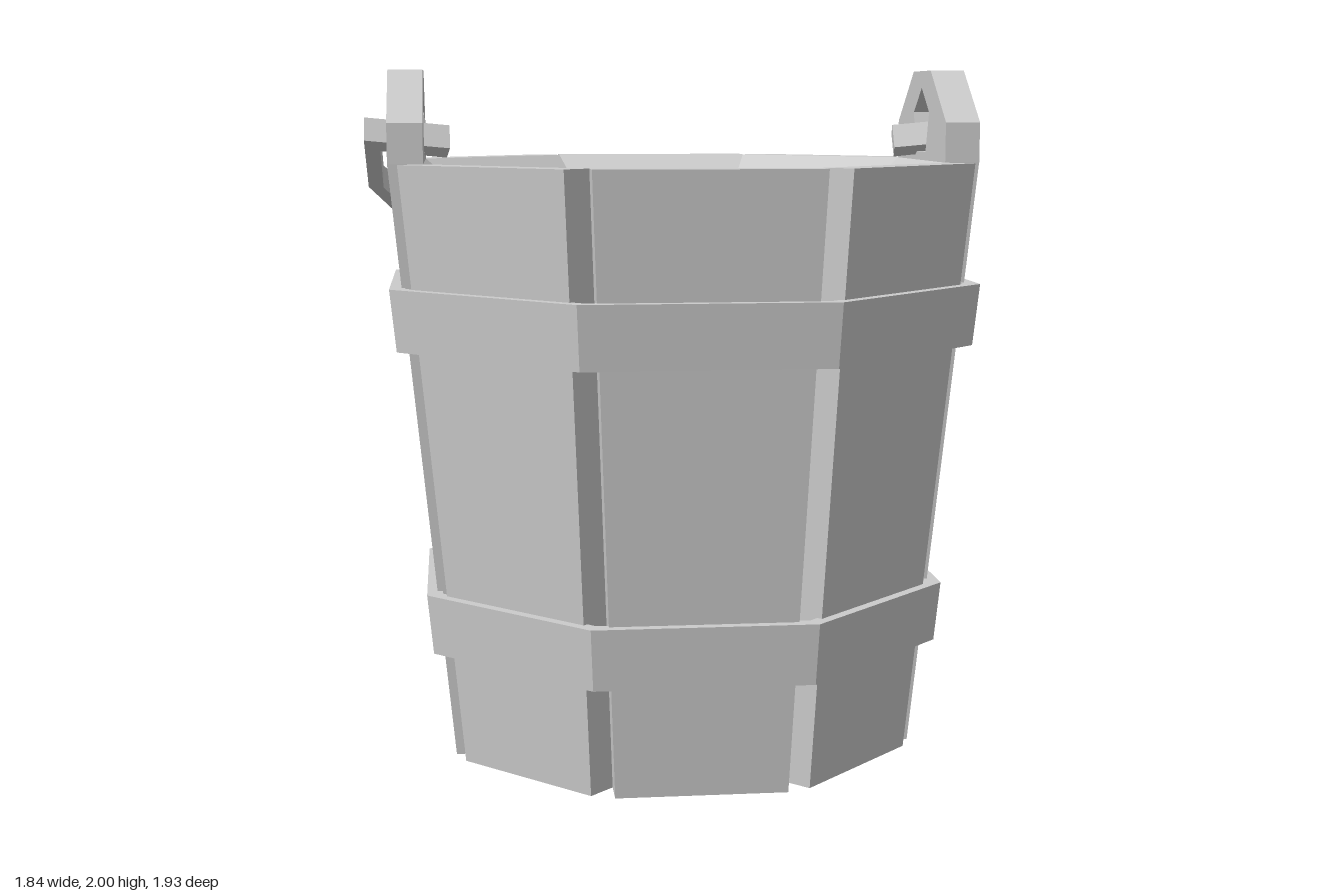
import * as THREE from 'three';

const material = new THREE.MeshStandardMaterial({ color: 0xcccccc, flatShading: true });
const CENTRE_Z = 0.12;   // the tub sits forward of the middle, the handle hangs behind
const HEIGHT = 1.735;
const TAN = Math.tan(Math.PI / 8);
const COS = Math.cos(Math.PI / 8);

const mesh = (geometry, name) => {
  const m = new THREE.Mesh(geometry, material);
  m.name = name;
  return m;
};

const toShape = (points) => new THREE.Shape(points.map(([x, y]) => new THREE.Vector2(x, y)));
const extrude = (shape, depth) => new THREE.ExtrudeGeometry(shape, { depth, bevelEnabled: false });

// Eight-sided ring from a closed [flat-side distance, height] profile
function octagonRing(profile, name) {
  const points = [...profile, profile[0]].map(([r, y]) => new THREE.Vector2(r / COS, y));
  return mesh(new THREE.LatheGeometry(points, 8, Math.PI / 8), name);
}

// Tapered board lying on one side of the octagon, facing +z
function stave(name) {
  const geometry = new THREE.BoxGeometry(2, 1, 1);
  const p = geometry.attributes.position;
  for (let i = 0; i < p.count; i++) {
    const t = p.getY(i) + 0.5;
    const inner = THREE.MathUtils.lerp(0.585, 0.745, t);
    p.setXYZ(i, p.getX(i) * inner * TAN, t * HEIGHT, inner + (p.getZ(i) > 0 ? 0.1 : 0) - (p.getZ(i) > 0 ? 0.008 * (1 - t) : 0));
  }
  return mesh(geometry, name);
}

// Lug with a five-sided hole, rising from a side stave
function ear(name) {
  const shape = toShape([[-0.31, HEIGHT], [0.31, HEIGHT], [0.31, 1.85], [0.11, 2], [-0.11, 2], [-0.31, 1.85]]);
  const hole = [];
  for (let i = 0; i < 5; i++) {
    const a = Math.PI / 2 - i * Math.PI * 0.4;
    hole.push(new THREE.Vector2(0.105 * Math.cos(a), 1.845 + 0.105 * Math.sin(a)));
  }
  shape.holes.push(new THREE.Path(hole));
  const geometry = extrude(shape, 0.1);
  geometry.translate(0, 0, 0.745);
  return mesh(geometry, name);
}

// Bent bar: half outline as [x, z], mirrored and tilted down to the back
function handle() {
  const outer = [[0.67, 0.075], [0.92, 0.12], [0.92, -0.155], [0.68, -0.665], [0, -0.948]];
  const inner = [[0, -0.89], [0.64, -0.625], [0.875, -0.16], [0.875, 0.06], [0.68, 0.02]];
  const mirror = (list) => list.filter(([x]) => x > 0).reverse().map(([x, z]) => [-x, z]);
  const tilt = Math.atan(0.53);
  const outline = [...outer, ...mirror(outer), ...mirror(inner), ...inner];
  const geometry = extrude(toShape(outline.map(([x, z]) => [x, -z / Math.cos(tilt)])), 0.076);
  geometry.translate(0, 0, -0.038);
  const bar = mesh(geometry, 'handle');
  bar.rotation.x = -Math.PI / 2 - tilt;
  bar.position.y = 1.766;
  return bar;
}

export function createModel() {
  const model = new THREE.Group();
  model.name = 'bucket';
  const tub = new THREE.Group();
  tub.name = 'tub';
  tub.position.z = CENTRE_Z;
  model.add(tub);

  // Inner wall with a sloping rim
  tub.add(octagonRing([[0.585, 0], [0.745, HEIGHT], [0.692, 1.69], [0.556, 0.25], [0.535, 0]], 'innerWall'));

  // Outer boards
  for (let i = 0; i < 8; i++) {
    const board = stave('stave' + (i + 1));
    board.rotation.y = i * Math.PI / 4;
    tub.add(board);
  }

  // Hoops
  tub.add(octagonRing([[0.738, 0.325], [0.755, 0.5], [0.71, 0.5], [0.693, 0.325]], 'lowerHoop'));
  tub.add(octagonRing([[0.827, 1.21], [0.845, 1.388], [0.8, 1.388], [0.782, 1.21]], 'upperHoop'));

  // Floor, with three planks underneath
  const floor = mesh(new THREE.CylinderGeometry(0.558 / COS, 0.544 / COS, 0.16, 8, 1, false, Math.PI / 8), 'floor');
  floor.position.y = 0.17;
  tub.add(floor);
  const side = [[0.235, -0.536], [0.545, -0.226], [0.545, 0.226], [0.235, 0.536]];
  const planks = [
    [[-0.21, -0.545], [0.21, -0.545], [0.21, 0.545], [-0.21, 0.545]],
    side,
    side.map(([x, z]) => [-x, z]),
  ];
  planks.forEach((outline, i) => {
    const plank = mesh(extrude(toShape(outline), 0.05), 'floorPlank' + (i + 1));
    plank.rotation.x = -Math.PI / 2;
    plank.position.y = 0.045;
    tub.add(plank);
  });

  // Ears and handle
  for (const [name, s] of [['leftEar', 1], ['rightEar', -1]]) {
    const lug = ear(name);
    lug.rotation.y = s * Math.PI / 2;
    tub.add(lug);
  }
  model.add(handle());
  return model;
}
